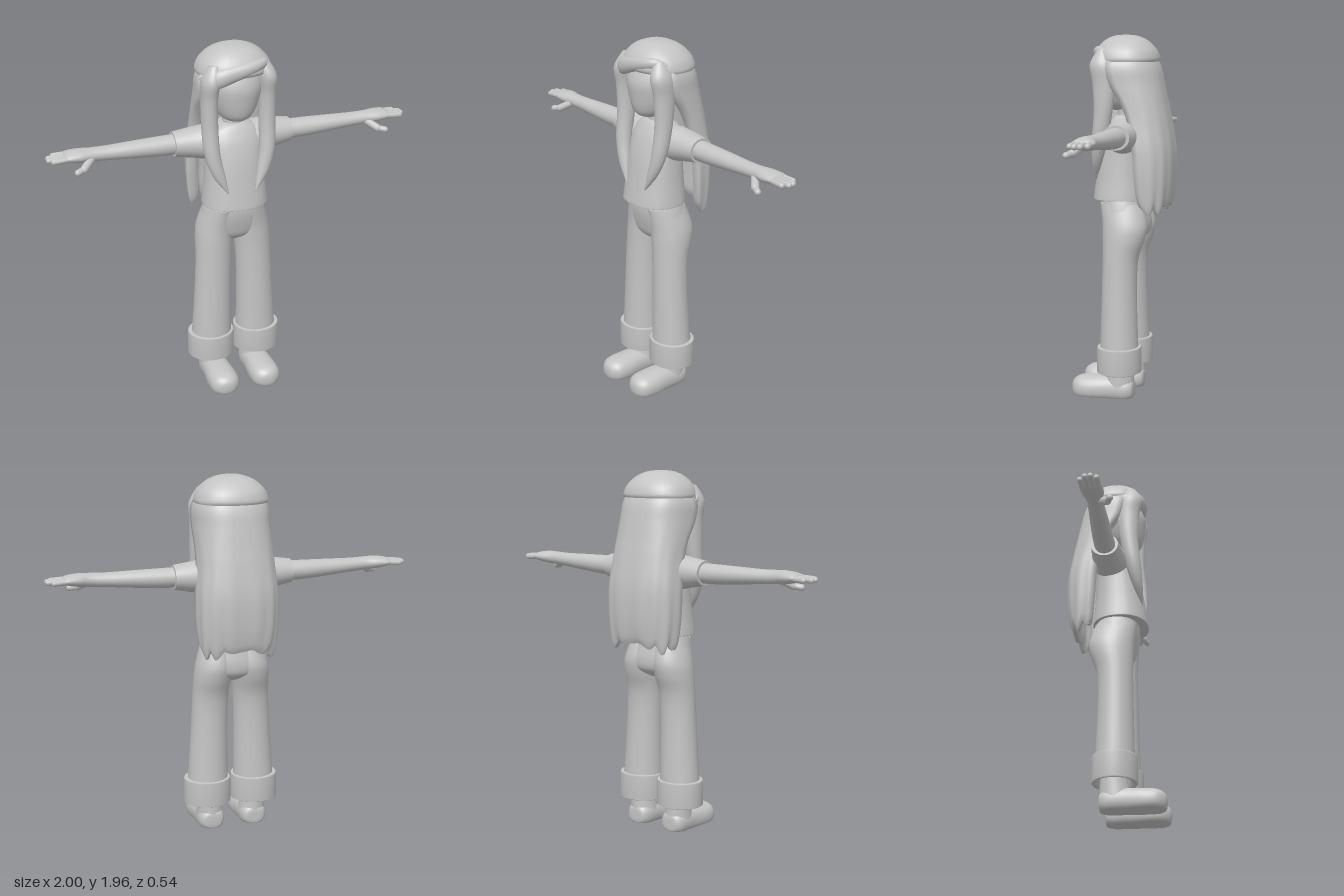
import * as THREE from 'three';

const grey = new THREE.MeshStandardMaterial({ color: 0xc4c4c4 });
grey.name = 'clay grey';

// Closed skin over a list of point rings, with flat end caps
function skin(name, rings, flip) {
  const n = rings[0].length, pos = [], idx = [];
  const tri = (a, b, c) => (flip ? idx.push(a, c, b) : idx.push(a, b, c));
  rings.forEach(r => r.forEach(p => pos.push(...p)));
  for (let i = 0; i < rings.length - 1; i++) for (let j = 0; j < n; j++) {
    const a = i * n + j, b = i * n + (j + 1) % n;
    tri(a, b, a + n);
    tri(b, b + n, a + n);
  }
  [rings[0], rings[rings.length - 1]].forEach((r, end) => {
    const shape = pos.length / 3;
    r.forEach(p => pos.push(...p));
    // Strips pair the ring's two halves
    for (let j = 0; j < n / 2 - 1; j++) {
      const a = shape + j, b = a + 1, c = shape + n - 1 - j, d = c - 1;
      if (end) { tri(a, b, c); tri(b, d, c); } else { tri(a, c, b); tri(b, c, d); }
    }
  });
  const g = new THREE.BufferGeometry();
  g.setAttribute('position', new THREE.Float32BufferAttribute(pos, 3));
  g.setIndex(idx);
  g.computeVertexNormals();
  const m = new THREE.Mesh(g, grey);
  m.name = name;
  return m;
}

// Smoothly fill in between rows of numbers
function fill(rows, k = 5) {
  const out = [], at = i => rows[Math.max(0, Math.min(rows.length - 1, i))];
  for (let i = 0; i < rows.length - 1; i++) for (let s = 0; s < k; s++) {
    const t = s / k;
    out.push(rows[i].map((p1, c) => {
      const p0 = at(i - 1)[c], p2 = at(i + 1)[c], p3 = at(i + 2)[c];
      return p1 + 0.5 * t * (p2 - p0 + t * (2 * p0 - 5 * p1 + 4 * p2 - p3 + t * (3 * (p1 - p2) + p3 - p0)));
    }));
  }
  out.push(rows[rows.length - 1]);
  return out;
}

const bend = (v, p) => Math.sign(v) * Math.abs(v) ** p;

// Oval rows [along, centreA, centreB, radiusA, radiusB] along an axis; power < 1 is boxier
function loft(name, axis, rows, { power = 1, k = 5, floor = -9 } = {}) {
  const n = 28;
  const rings = fill(rows, k).map(([t, a, b, ra, rb]) => Array.from({ length: n }, (_, j) => {
    const q = j / n * Math.PI * 2;
    const u = a + Math.max(ra, 0.001) * bend(Math.cos(q), power);
    const v = b + Math.max(rb, 0.001) * bend(Math.sin(q), power);
    return axis === 'x' ? [t, u, v] : axis === 'y' ? [u, t, v] : [u, Math.max(v, floor), t];
  }));
  return skin(name, rings, (axis === 'y') !== (rows[rows.length - 1][0] < rows[0][0]));
}

// Rounded stick between two points
function stick(name, a, b, r) {
  const p = new THREE.Vector3(...a), q = new THREE.Vector3(...b), d = q.clone().sub(p);
  const m = new THREE.Mesh(new THREE.CapsuleGeometry(r, d.length(), 6, 12), grey);
  m.position.copy(p).add(q).multiplyScalar(0.5);
  m.quaternion.setFromUnitVectors(new THREE.Vector3(0, 1, 0), d.normalize());
  m.name = name;
  return m;
}

// Long curtain of hair; rows [y, frontZ, backZ, halfWidth, thickness]
function backHair() {
  const m = 40, rows = fill([
    [1.9, 0.04, -0.12, 0.14, 0.06], [1.8, 0.06, -0.18, 0.2, 0.06], [1.7, 0.04, -0.205, 0.207, 0.06],
    [1.6, -0.02, -0.225, 0.207, 0.06], [1.5, -0.06, -0.245, 0.21, 0.06], [1.35, -0.09, -0.268, 0.222, 0.06],
    [1.2, -0.1, -0.268, 0.222, 0.055], [1.1, -0.11, -0.255, 0.21, 0.045], [1.06, -0.12, -0.24, 0.195, 0.02],
  ]);
  const rings = rows.map(([y, zf, zb, w, t]) => {
    const low = THREE.MathUtils.smoothstep(1.75 - y, 0, 0.7);
    const tip = THREE.MathUtils.smoothstep(1.2 - y, 0, 0.14);
    const arc = inner => Array.from({ length: m }, (_, j) => {
      const q = (inner ? m - 1 - j : j) / (m - 1) * Math.PI;
      const fold = 1 + 0.018 * low * Math.cos(q * 14);
      return [
        (w - inner * t * 0.8) * fold * bend(Math.cos(q), 0.75),
        y - tip * 0.06 * Math.abs(Math.sin(q * 5.5)) * (0.6 + 0.4 * Math.sin(q * 3)),
        zf + (zb - zf + inner * t) * fold * bend(Math.sin(q), 0.75),
      ];
    });
    return [...arc(0), ...arc(1)];
  });
  return skin('backHair', rings, true);
}

export function createModel() {
  const model = new THREE.Group();
  model.name = 'figure';

  // Head, neck and collar
  model.add(loft('head', 'y', [
    [1.555, 0, 0.035, 0.02, 0.025], [1.565, 0, 0.035, 0.06, 0.075], [1.6, 0, 0.025, 0.1, 0.115],
    [1.68, 0, 0.015, 0.135, 0.142], [1.76, 0, 0.01, 0.15, 0.15], [1.85, 0, 0, 0.13, 0.12], [1.9, 0, 0, 0.06, 0.06],
  ]));
  model.add(loft('neck', 'y', [[1.46, 0, -0.015, 0.075, 0.07], [1.53, 0, -0.01, 0.055, 0.055], [1.62, 0, -0.01, 0.055, 0.055]]));
  const collar = new THREE.Mesh(new THREE.TorusGeometry(0.078, 0.009, 8, 32), grey);
  collar.name = 'collar';
  collar.position.set(0, 1.505, 0.005);
  collar.rotation.x = Math.PI / 2 + 0.4;
  model.add(collar);

  // Hair: crown, curtain and slanted fringe
  model.add(loft('hairCrown', 'y', [
    [1.956, 0, 0, 0.02, 0.02], [1.95, 0, 0, 0.07, 0.065], [1.925, 0, -0.002, 0.13, 0.115],
    [1.88, 0, -0.005, 0.178, 0.157], [1.835, 0, -0.008, 0.198, 0.172], [1.815, 0, -0.01, 0.196, 0.165],
  ], { power: 0.88 }));
  model.add(backHair());
  model.add(loft('fringe', 'x', [
    [-0.2, 1.785, 0.06, 0.02, 0.02], [-0.185, 1.79, 0.085, 0.042, 0.035], [-0.12, 1.815, 0.125, 0.05, 0.036],
    [-0.03, 1.84, 0.138, 0.042, 0.032], [0.06, 1.86, 0.135, 0.034, 0.03], [0.13, 1.87, 0.11, 0.026, 0.026],
    [0.17, 1.86, 0.07, 0.01, 0.01],
  ]));

  // Shirt and trousers top
  model.add(loft('shirt', 'y', [
    [1.08, 0, 0.02, 0.178, 0.15], [1.095, 0, 0.02, 0.178, 0.15], [1.2, 0, 0.017, 0.167, 0.138],
    [1.33, 0, 0.01, 0.158, 0.125], [1.43, 0, 0, 0.155, 0.108], [1.49, 0, -0.01, 0.135, 0.09],
    [1.52, 0, -0.01, 0.09, 0.07], [1.53, 0, -0.01, 0.06, 0.055],
  ], { power: 0.88 }));
  model.add(loft('hips', 'y', [
    [1.1, 0, 0.005, 0.15, 0.115], [1.03, 0, 0, 0.172, 0.122], [0.95, 0, -0.015, 0.185, 0.122],
    [0.89, 0, -0.02, 0.15, 0.105], [0.85, 0, -0.015, 0.05, 0.05],
  ], { power: 0.9 }));

  for (const s of [1, -1]) {
    const side = s > 0 ? 'left' : 'right';
    const g = new THREE.Group();
    g.name = side + 'Side';

    // Front lock of hair
    g.add(loft('frontLock', 'y', [
      [1.88, s * 0.13, 0.09, 0.03, 0.03], [1.8, s * 0.152, 0.092, 0.05, 0.066], [1.7, s * 0.158, 0.08, 0.044, 0.062],
      [1.55, s * 0.158, 0.085, 0.044, 0.05], [1.4, s * 0.152, 0.106, 0.042, 0.042],
      [1.28, s * 0.122, 0.126, 0.033, 0.028], [1.18, s * 0.077, 0.143, 0.004, 0.008],
    ]));

    // Sleeve and arm
    g.add(loft('sleeve', 'x', [
      [s * 0.08, 1.425, -0.015, 0.085, 0.095], [s * 0.15, 1.425, -0.02, 0.092, 0.095],
      [s * 0.22, 1.427, -0.026, 0.082, 0.086], [s * 0.325, 1.43, -0.028, 0.065, 0.073],
    ]));
    g.add(loft('arm', 'x', [
      [s * 0.25, 1.43, -0.027, 0.054, 0.058], [s * 0.4, 1.43, -0.026, 0.052, 0.055], [s * 0.55, 1.434, -0.022, 0.045, 0.05],
      [s * 0.68, 1.438, -0.018, 0.038, 0.044], [s * 0.77, 1.442, -0.014, 0.036, 0.044],
      [s * 0.83, 1.445, -0.016, 0.034, 0.056], [s * 0.89, 1.447, -0.02, 0.024, 0.058], [s * 0.91, 1.447, -0.02, 0.008, 0.045],
    ]));

    // Fingers and thumb
    [[-0.062, 0.955], [-0.034, 0.983], [-0.006, 0.985], [0.022, 0.965]].forEach(([z, end]) =>
      g.add(stick('finger', [s * 0.86, 1.447, z * 0.9], [s * end, 1.442, z], 0.0155)));
    g.add(stick('thumb', [s * 0.775, 1.425, 0.015], [s * 0.82, 1.395, 0.055], 0.021));
    g.add(stick('thumbTip', [s * 0.82, 1.395, 0.055], [s * 0.857, 1.388, 0.073], 0.017));

    // Trouser leg with turned-up cuff
    g.add(loft('trouserLeg', 'y', [
      [1.06, s * 0.08, 0.005, 0.08, 0.115], [0.95, s * 0.097, -0.018, 0.1, 0.122], [0.87, s * 0.107, -0.015, 0.103, 0.115],
      [0.75, s * 0.115, 0.002, 0.1, 0.096], [0.55, s * 0.123, 0.006, 0.102, 0.095], [0.22, s * 0.133, 0.003, 0.114, 0.105],
    ]));
    const cuffWall = [[0.095, 0.15], [0.12, 0.14], [0.131, 0.146], [0.13, 0.279], [0.126, 0.285], [0.105, 0.284]];
    const cuff = new THREE.Mesh(new THREE.LatheGeometry(
      [[0.085, 0.22], [0.095, 0.22], ...cuffWall].map(p => new THREE.Vector2(...p)), 36), grey);
    cuff.name = 'cuff';
    cuff.position.set(s * 0.135, 0, 0.003);
    cuff.scale.z = 0.92;
    g.add(cuff);

    // Ankle and shoe
    g.add(loft('ankle', 'y', [
      [0.25, s * 0.128, -0.005, 0.06, 0.065], [0.15, s * 0.127, -0.002, 0.065, 0.072], [0.06, s * 0.122, 0.005, 0.075, 0.082],
    ]));
    g.add(loft('shoe', 'z', [
      [-0.078, s * 0.122, 0.045, 0.025, 0.025], [-0.07, s * 0.122, 0.045, 0.055, 0.05], [-0.03, s * 0.122, 0.045, 0.074, 0.07],
      [0.06, s * 0.122, 0.045, 0.077, 0.073], [0.16, s * 0.122, 0.04, 0.085, 0.073], [0.225, s * 0.122, 0.04, 0.077, 0.065],
      [0.26, s * 0.122, 0.04, 0.045, 0.042], [0.27, s * 0.122, 0.04, 0.012, 0.015],
    ], { power: 0.9, floor: 0 }));
    model.add(g);
  }
  return model;
}
